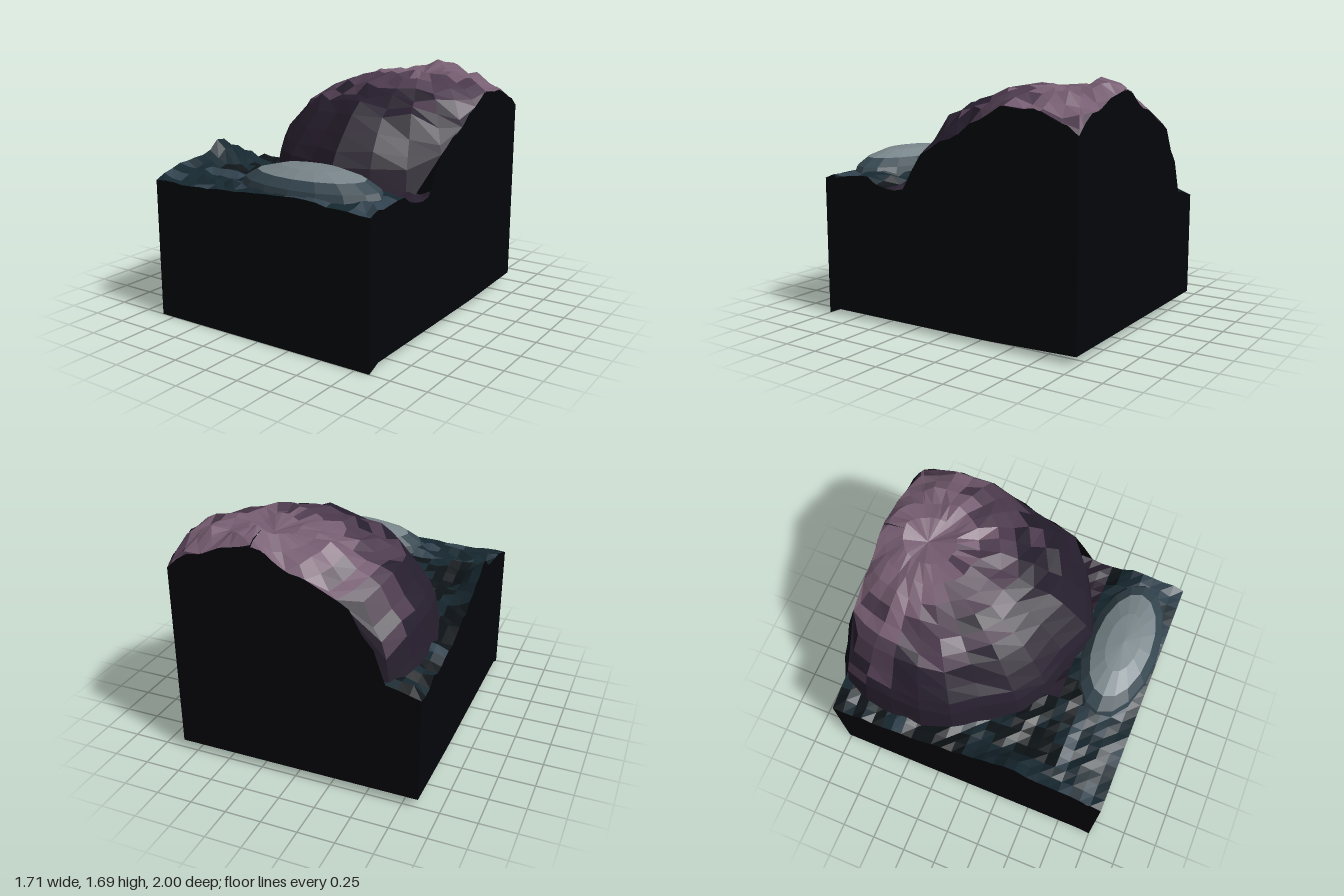
import * as THREE from 'three';

const W = 0.855, D = 1, NX = 22, NZ = 26;
const CX = 0.25, CZ = -0.68; // hill centre

const hash = (a, b) => {
  const s = Math.sin(a * 127.1 + b * 311.7) * 43758.5453;
  return s - Math.floor(s);
};
const gauss = (dx, dz) => Math.exp(-dx * dx - dz * dz);

// piecewise-linear lookup in a short list of [position, value]
function lookup(points, v) {
  if (v <= points[0][0]) return points[0][1];
  for (let i = 1; i < points.length; i++) {
    const [a, ya] = points[i - 1], [b, yb] = points[i];
    if (v <= b) return ya + (yb - ya) * (v - a) / (b - a);
  }
  return points[points.length - 1][1];
}

// low ground: ridge on the left edge, valley round the hill, swell at the front
const LEFT_RIDGE = [[-1, 0.79], [-0.3, 0.88], [0, 0.97], [0.2, 1.08], [0.34, 1.15], [0.5, 1.08], [0.75, 1.02], [1, 0.97]];
const VALLEY = [[-1, 0.85], [-0.4, 0.88], [0, 0.91], [0.25, 0.93], [0.4, 0.94], [0.6, 0.98], [1, 0.965]];
function ground(x, z) {
  const k = THREE.MathUtils.smoothstep(x, -W - 0.02, -0.63);
  const base = lookup(LEFT_RIDGE, z) * (1 - k) + lookup(VALLEY, z) * k;
  const swell = 0.12 * gauss((x - 0.25) / 0.42, (z - 0.74) / 0.26);
  const rough = Math.abs(z) > 0.99 ? 0.012 : 0.045;
  return base + swell + rough * (hash(Math.round(x * 100), Math.round(z * 100)) - 0.4);
}

// rounded hill: steep sides and an uneven cap
const HILL = [[0, 1.6], [0.2, 1.62], [0.4, 1.61], [0.55, 1.54], [0.65, 1.49], [0.77, 1.43],
  [0.85, 1.3], [0.93, 1.2], [0.97, 1.1], [1, 0.94], [1.03, 0.8]];
const hillRadius = (a) => 0.945 + 0.185 * Math.pow(Math.max(0, Math.cos(a)), 0.6)
  + 0.09 * gauss(a / 0.2, 0) + 0.04 * gauss((a + 0.5) / 0.2, 0) + 0.015 * Math.sin(a * 11 + 1);
function hillT(x, z) {
  return Math.hypot(x - CX, z - CZ) / hillRadius(Math.atan2(x - CX, z - CZ));
}
function hill(x, z) {
  const t = hillT(x, z);
  let y = lookup(HILL, t);
  if (t < 0.97) y += 0.014 * (Math.sin(x * 23 + z * 9) + Math.sin(z * 27 - x * 13));
  // sags: back edge, right edge and left flank
  y -= (x > CX ? 0.24 : 0.44) * Math.max(0, -0.76 - z) * (1 - 0.7 * gauss((x - 0.29) / 0.22, 0));
  y -= 0.1 * gauss((x - W) / 0.2, (z + 0.08) / 0.2);
  y -= 0.04 * gauss((x + 0.35) / 0.25, (z + 0.7) / 0.5);
  return y + 0.13 * gauss((x - 0.29) / 0.1, (z + 0.88) / 0.08);
}
const bottom = (z) => lookup([[-1, 0.06], [-0.35, 0.04], [0.9, 0.04], [1, 0]], z);

// collects quads and turns them into one flat-shaded mesh
class Patch {
  constructor(name, color) {
    Object.assign(this, { name, color, data: [] });
  }
  quad(a, b, c, d) {
    for (const p of [a, b, c, a, c, d]) this.data.push(...p);
  }
  mesh() {
    const g = new THREE.BufferGeometry();
    g.setAttribute('position', new THREE.Float32BufferAttribute(this.data, 3));
    g.computeVertexNormals();
    const m = new THREE.Mesh(g, new THREE.MeshStandardMaterial({
      color: this.color, flatShading: true, side: THREE.DoubleSide,
    }));
    m.name = this.name;
    return m;
  }
}

function addPatches(parent, name, patches) {
  const g = new THREE.Group();
  g.name = name;
  patches.forEach((p) => g.add(p.mesh()));
  parent.add(g);
}

const gridX = (i) => -W + 2 * W * i / NX;
const gridZ = (j) => -D + 2 * D * j / NZ;

function buildGround(parent) {
  const tones = [
    new Patch('darkGround', 0x0e1418),
    new Patch('tealGround', 0x172830),
    new Patch('paleGround', 0x31424e),
    new Patch('hillFoot', 0x281f2e),
  ];
  const p = (i, j) => [gridX(i), ground(gridX(i), gridZ(j)), gridZ(j)];
  for (let i = 0; i < NX; i++) for (let j = 0; j < NZ; j++) {
    const x = gridX(i + 0.5), z = gridZ(j + 0.5);
    if (hillT(x, z) < 0.85) continue; // hidden under the hill
    const v = hash(i >> 1, j) * 0.9 + (z > 0.65 ? 0.3 : 0) - 0.6 * gauss((x + 0.5) / 0.2, (z - 0.4) / 0.3);
    const tone = x > -0.2 && z < 0.46 ? 3 : v > 0.75 ? 2 : v > 0.22 ? 1 : 0;
    tones[tone].quad(p(i, j), p(i, j + 1), p(i + 1, j + 1), p(i + 1, j));
  }
  addPatches(parent, 'ground', tones);
}

function buildHill(parent) {
  const tones = [
    new Patch('hillSide', 0x261e2d),
    new Patch('hillShoulder', 0x4c3a4d),
    new Patch('hillCap', 0x765d71),
  ];
  // spokes every 12 degrees, plus one into the back corner of the block
  const angles = [Math.atan2(W - CX, -D - CZ)];
  for (let i = 0; i < 30; i++) angles.push(-Math.PI + i * Math.PI / 15);
  angles.sort((a, b) => a - b);
  angles.push(angles[0] + Math.PI * 2);
  const rings = [0, 0.17, 0.3, 0.42, 0.52, 0.61, 0.7, 0.78, 0.86, 0.93, 0.97, 1, 1.02];
  const point = (a, t) => {
    const s = Math.sin(a), c = Math.cos(a);
    const reachX = s > 0 ? (W - CX) / s : s < 0 ? (-W - CX) / s : 9;
    const reachZ = c > 0 ? (D - CZ) / c : c < 0 ? (-D - CZ) / c : 9;
    const r = Math.min(hillRadius(a) * t, reachX, reachZ);
    const x = CX + s * r, z = CZ + c * r;
    return [x, hill(x, z), z];
  };
  for (let i = 0; i < angles.length - 1; i++) for (let j = 0; j < rings.length - 1; j++) {
    const a = angles[i], b = angles[i + 1], t = rings[j], u = rings[j + 1];
    const facing = Math.cos((a + b) / 2); // 1 towards the front
    const v = t + 0.22 * (hash(i, j) - 0.5) + 0.36 * Math.max(0, facing);
    tones[v < 0.54 ? 2 : v < 0.86 ? 1 : 0].quad(point(a, t), point(a, u), point(b, u), point(b, t));
  }
  addPatches(parent, 'hill', tones);
}

// pale oval mound at the front
function buildMound(parent) {
  const tones = [new Patch('moundTop', 0x78858a), new Patch('moundRim', 0x35464f)];
  const rings = [[0, 1.165], [0.45, 1.15], [0.8, 1.105], [1, 1.05], [1.06, 0.99]];
  const point = (i, [t, y]) => {
    const a = i * Math.PI / 8;
    return [0.25 + 0.5 * t * Math.sin(a), y, 0.74 + 0.245 * t * Math.cos(a)];
  };
  for (let i = 0; i < 16; i++) for (let j = 0; j < 4; j++) {
    tones[j < 2 ? 0 : 1].quad(point(i, rings[j]), point(i, rings[j + 1]), point(i + 1, rings[j + 1]), point(i + 1, rings[j]));
  }
  addPatches(parent, 'mound', tones);
}

// cut faces of the block, and its underside
function buildBlock(parent) {
  const wall = new Patch('cutWalls', 0x03050b);
  const under = new Patch('underside', 0x03080a);
  const top = (x, z) => [x, Math.max(ground(x, z), hill(x, z)), z];
  const low = (x, z) => [x, bottom(z), z];
  const panel = (x0, z0, x1, z1) => wall.quad(low(x0, z0), low(x1, z1), top(x1, z1), top(x0, z0));
  for (let i = 0; i < NX; i++) {
    panel(gridX(i), D, gridX(i + 1), D);
    panel(gridX(i + 1), -D, gridX(i), -D);
  }
  const zs = [0.9];
  for (let j = 0; j <= NZ; j++) zs.push(gridZ(j));
  zs.sort((a, b) => a - b);
  for (let j = 0; j < zs.length - 1; j++) {
    const a = zs[j], b = zs[j + 1];
    panel(W, b, W, a);
    panel(-W, a, -W, b);
    under.quad(low(-W, a), low(W, a), low(W, b), low(-W, b));
  }
  addPatches(parent, 'block', [wall, under]);
}

export function createModel() {
  const model = new THREE.Group();
  model.name = 'terrainBlock';
  buildBlock(model);
  buildGround(model);
  buildHill(model);
  buildMound(model);
  return model;
}
